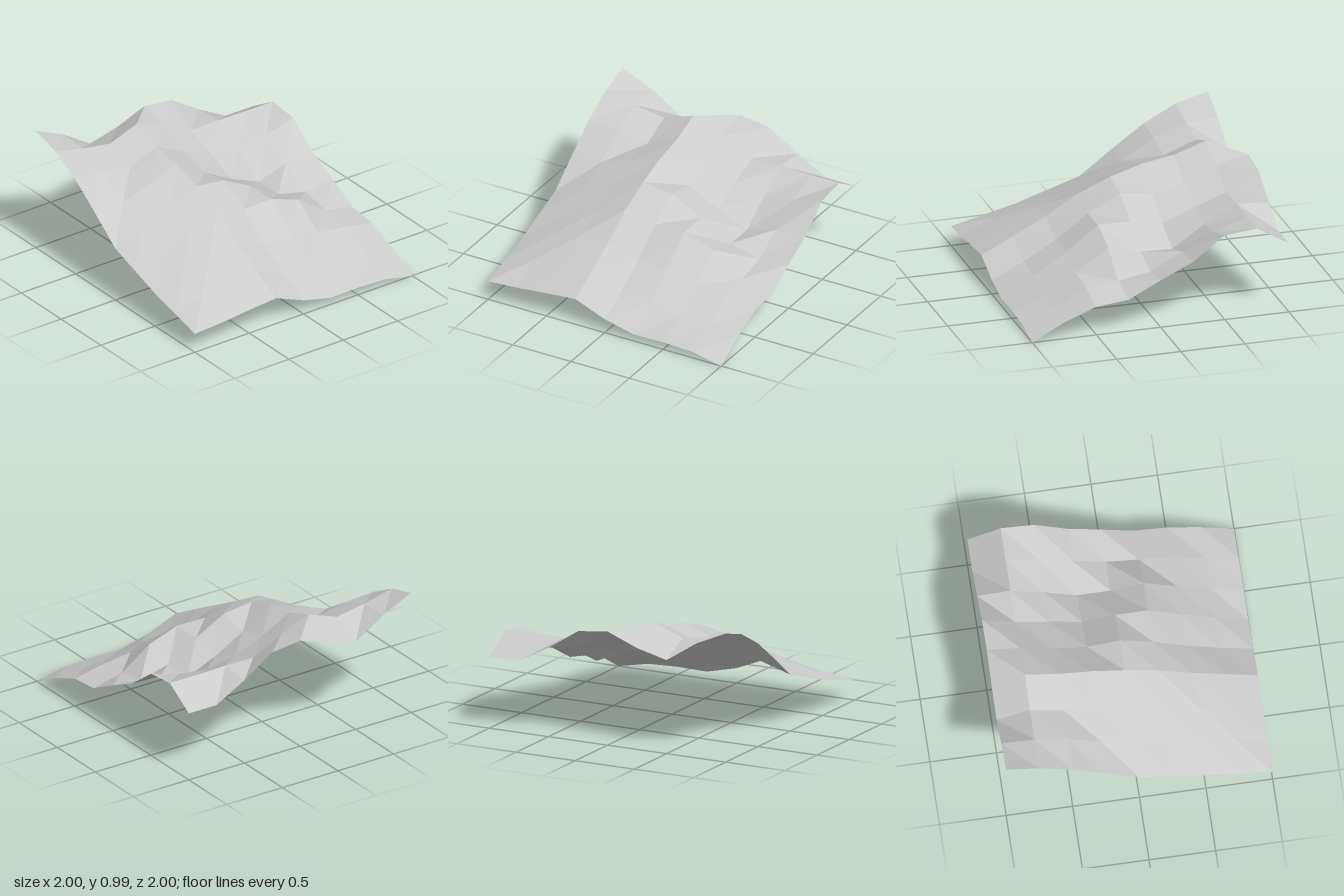
import * as THREE from 'three';

// Heights of the terrain, one row per step from back (z = -1) to front (z = 1),
// each running from x = -1 to x = 1
const HEIGHTS = [
  [0.99, 0.88, 0.72, 0.78, 0.875, 0.845, 0.685, 0.55, 0.55],
  [0.925, 0.87, 0.83, 0.92, 0.82, 0.70, 0.705, 0.70, 0.70],
  [0.795, 0.78, 0.735, 0.835, 0.71, 0.61, 0.57, 0.605, 0.675],
  [0.62, 0.625, 0.71, 0.795, 0.645, 0.51, 0.405, 0.48, 0.49],
  [0.435, 0.535, 0.625, 0.72, 0.69, 0.56, 0.41, 0.35, 0.375],
  [0.355, 0.44, 0.53, 0.615, 0.555, 0.56, 0.475, 0.305, 0.25],
  [0.275, 0.37, 0.44, 0.465, 0.375, 0.37, 0.305, 0.275, 0.225],
  [0.215, 0.285, 0.32, 0.34, 0.23, 0.21, 0.165, 0.145, 0.13],
  [0.155, 0.17, 0.195, 0.215, 0.115, 0.055, 0.06, 0.05, 0],
];

export function createModel() {
  const group = new THREE.Group();
  group.name = 'terrainPatch';

  const rock = new THREE.MeshStandardMaterial({
    name: 'light grey rock',
    color: 0xcccccc,
    side: THREE.DoubleSide,
    flatShading: true,
  });

  // Faceted ground sheet: a flat grid lifted to the height of each point
  const cells = HEIGHTS.length - 1;
  const sheet = new THREE.PlaneGeometry(2, 2, cells, cells).rotateX(-Math.PI / 2);
  const position = sheet.attributes.position;
  HEIGHTS.flat().forEach((height, i) => position.setY(i, height));

  // Separate facets so every triangle stays flat
  const facets = sheet.toNonIndexed();
  facets.computeVertexNormals();

  const ground = new THREE.Mesh(facets, rock);
  ground.name = 'ground';
  group.add(ground);
  return group;
}
